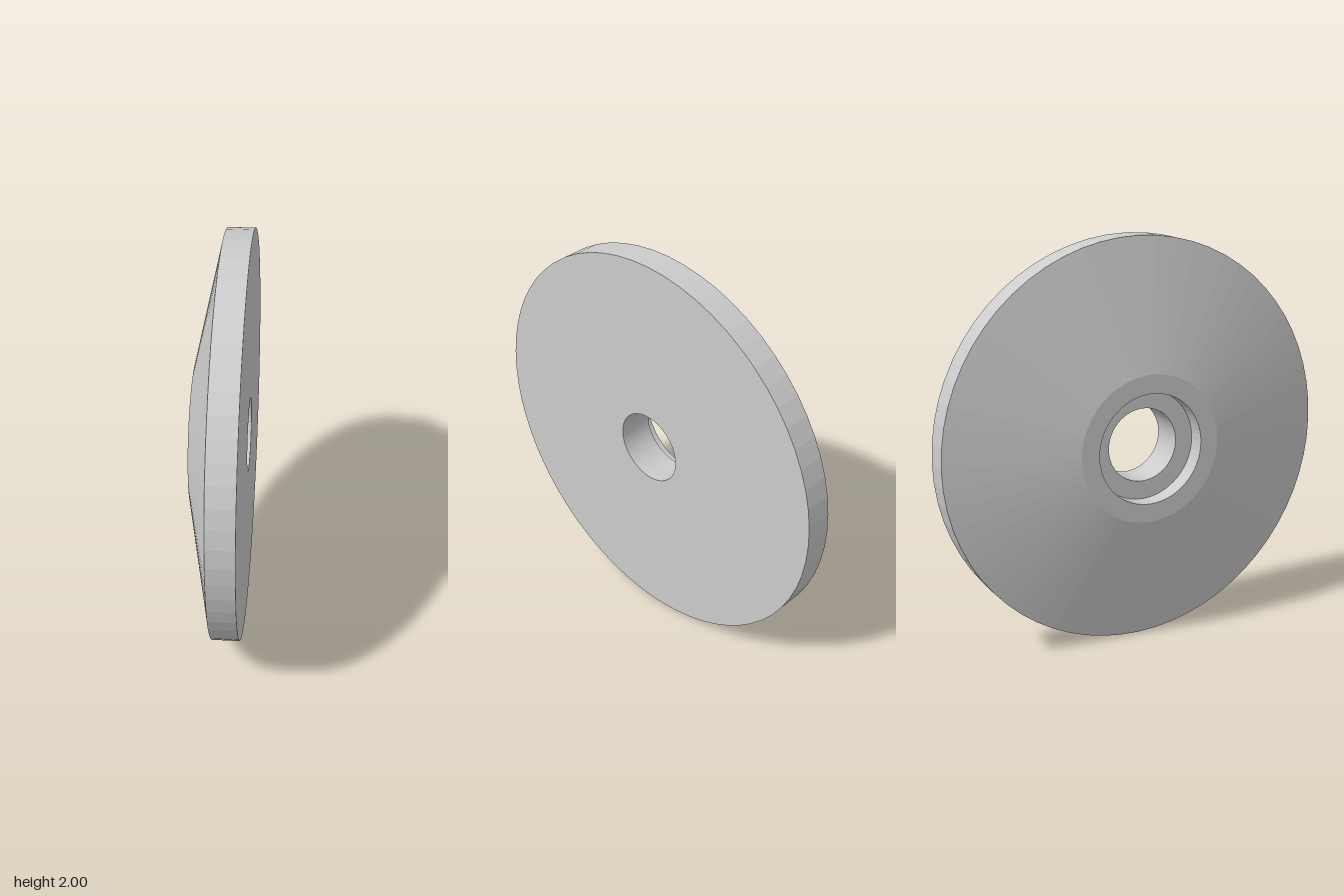
import * as THREE from 'three';

const SEGMENTS = 64;

export function createModel() {
  const group = new THREE.Group();
  group.name = 'flangedDisc';

  // Closed cross-section (radius, position along the axis), from back to front
  const boreRadius = 0.182, recessRadius = 0.273, hubRadius = 0.365, rimRadius = 1;
  const backY = -0.2, recessY = -0.111, rimY = 0.0665;
  const profile = [
    [boreRadius, recessY],    // recess floor, inner edge
    [recessRadius, recessY],  // recess floor, outer edge
    [recessRadius, backY],    // recess mouth
    [hubRadius, backY],       // flat ring on the back
    [rimRadius, -rimY],       // conical back
    [rimRadius, rimY],        // rim
    [boreRadius, rimY],       // flat front face
    [boreRadius, recessY],    // through bore
  ].map(([r, y]) => new THREE.Vector2(r, y));

  // Turn the axis towards the front
  const geometry = new THREE.LatheGeometry(profile, SEGMENTS).rotateX(Math.PI / 2);
  const material = new THREE.MeshStandardMaterial({ color: 0xcccccc, flatShading: true });
  const disc = new THREE.Mesh(geometry, material);
  disc.name = 'disc';
  disc.position.y = 1;
  disc.rotation.y = 0.876; // the disc stands on its rim, turned aside
  group.add(disc);

  return group;
}
